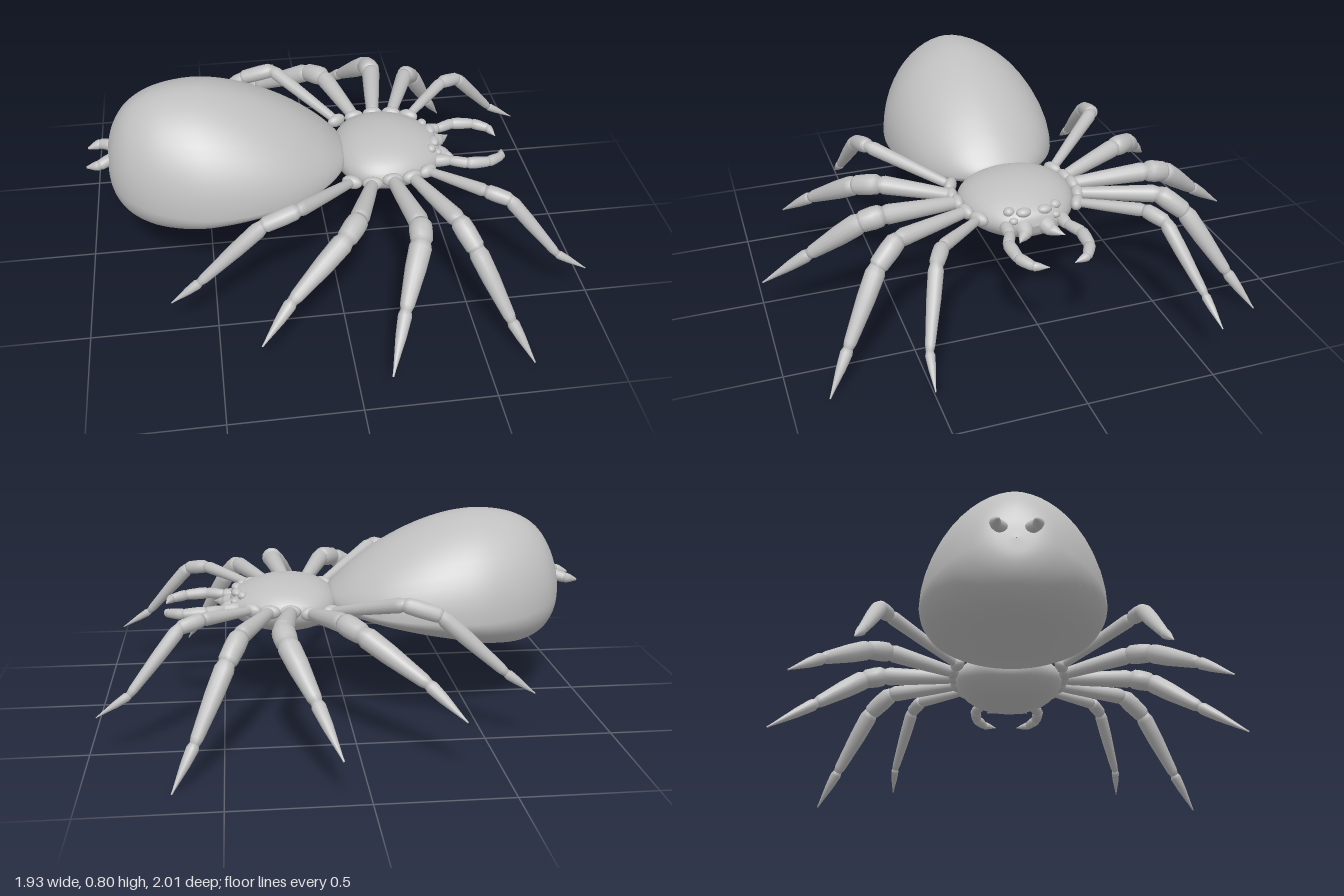
import * as THREE from 'three';

const grey = new THREE.MeshStandardMaterial({ color: 0xbfbfbf });
grey.name = 'body grey';

const V = (p, side = 1) => new THREE.Vector3(p[0], p[1], p[2] * side);

function add(parent, name, geometry) {
  const mesh = new THREE.Mesh(geometry, grey);
  mesh.name = name;
  parent.add(mesh);
  return mesh;
}

// Smooth body along x; each section is [x, halfWidth, top, bottom, widestHeight]
function loft(sections, rings, sides, peak) {
  const a = new THREE.CatmullRomCurve3(sections.map(s => new THREE.Vector3(s[0], s[1], s[2])), false, 'catmullrom');
  const b = new THREE.CatmullRomCurve3(sections.map(s => new THREE.Vector3(s[0], s[3], s[4])), false, 'catmullrom');
  const pos = [], idx = [];
  for (let i = 0; i <= rings; i++) {
    const p = a.getPoint(i / rings), q = b.getPoint(i / rings);
    for (let j = 0; j < sides; j++) {
      const t = (j / sides) * Math.PI * 2, c = Math.cos(t), s = Math.sin(t);
      const wide = s > 0 ? Math.sign(c) * Math.abs(c) ** peak : c;
      pos.push(p.x, q.z + s * (s > 0 ? p.z - q.z : q.z - q.y), p.y * wide);
      if (i < rings) {
        const k = i * sides + j, n = i * sides + (j + 1) % sides;
        idx.push(k, k + sides, n, n, k + sides, n + sides);
      }
    }
  }
  const g = new THREE.BufferGeometry();
  g.setAttribute('position', new THREE.Float32BufferAttribute(pos, 3));
  g.setIndex(idx);
  g.computeVertexNormals();
  return g;
}

// Rounded, tapered limb segment from point a to point b
function segment(parent, name, a, b, r0, r1) {
  const len = a.distanceTo(b);
  const profile = [[0, -r0 * 0.45], [r0 * 0.7, -r0 * 0.3], [r0, len * 0.08], [r0 * 0.72 + r1 * 0.34, len * 0.4],
    [r1 * 1.02, len * 0.92], [r1 * 0.7, len + r1 * 0.3], [0, len + r1 * 0.45]];
  const mesh = add(parent, name, new THREE.LatheGeometry(profile.map(p => new THREE.Vector2(p[0], p[1])), 14));
  mesh.position.copy(a);
  mesh.quaternion.setFromUnitVectors(new THREE.Vector3(0, 1, 0), b.clone().sub(a).normalize());
}

function ellipsoid(parent, name, p, size, side, turn = 0) {
  const mesh = add(parent, name, new THREE.SphereGeometry(1, 16, 12));
  mesh.position.copy(V(p, side));
  mesh.scale.set(...size);
  mesh.rotation.y = turn * side;
}

// Joints from hip to tip, with the knee thickness
const LEGS = [
  { name: 'rearLeg', r: 0.03, turn: 0.5, joints: [[0.07, 0.44, 0.22], [-0.18, 0.545, 0.5], [-0.31, 0.505, 0.52], [-0.56, 0.28, 0.55], [-0.67, 0.2, 0.56]] },
  { name: 'midRearLeg', r: 0.039, turn: 0.15, joints: [[0.15, 0.44, 0.24], [0.05, 0.485, 0.51], [-0.01, 0.465, 0.59], [-0.23, 0.32, 0.74], [-0.35, 0.215, 0.845]] },
  { name: 'middleLeg', r: 0.041, turn: 0, joints: [[0.23, 0.45, 0.24], [0.275, 0.475, 0.55], [0.265, 0.455, 0.63], [0.175, 0.3, 0.82], [0.1, 0.16, 1]] },
  { name: 'midFrontLeg', r: 0.036, turn: -0.3, joints: [[0.31, 0.45, 0.23], [0.43, 0.455, 0.53], [0.48, 0.385, 0.62], [0.6, 0.14, 0.77], [0.68, 0, 0.86]] },
  { name: 'frontLeg', r: 0.027, turn: -0.55, joints: [[0.38, 0.45, 0.2], [0.57, 0.48, 0.4], [0.65, 0.465, 0.445], [0.84, 0.24, 0.53], [0.96, 0.165, 0.545]] },
];
const PARTS = ['femur', 'patella', 'tibia', 'tarsus'];

export function createModel() {
  const model = new THREE.Group();
  model.name = 'spider';

  // Egg-shaped abdomen
  add(model, 'abdomen', loft([
    [-0.887, 0.002, 0.478, 0.476, 0.477], [-0.88, 0.09, 0.56, 0.39, 0.47], [-0.85, 0.165, 0.65, 0.325, 0.45],
    [-0.79, 0.235, 0.73, 0.272, 0.435], [-0.69, 0.3, 0.783, 0.246, 0.42], [-0.55, 0.346, 0.8, 0.255, 0.41],
    [-0.42, 0.354, 0.782, 0.283, 0.41], [-0.28, 0.337, 0.733, 0.314, 0.415], [-0.15, 0.296, 0.664, 0.348, 0.42],
    [-0.04, 0.228, 0.585, 0.38, 0.43], [0.03, 0.155, 0.52, 0.403, 0.44], [0.06, 0.09, 0.485, 0.425, 0.45],
    [0.066, 0.002, 0.453, 0.451, 0.452]], 60, 48, 1.1));

  // Cephalothorax
  add(model, 'cephalothorax', loft([
    [0.03, 0.002, 0.431, 0.429, 0.43], [0.045, 0.11, 0.475, 0.385, 0.43], [0.1, 0.19, 0.514, 0.345, 0.43],
    [0.18, 0.226, 0.535, 0.324, 0.43], [0.27, 0.224, 0.538, 0.32, 0.43], [0.35, 0.195, 0.523, 0.332, 0.43],
    [0.42, 0.145, 0.495, 0.36, 0.43], [0.455, 0.095, 0.47, 0.385, 0.43], [0.47, 0.002, 0.431, 0.429, 0.43]], 40, 36, 1));

  for (const side of [1, -1]) {
    const label = side > 0 ? 'left' : 'right';

    // Walking legs and their hip lobes
    for (const { name, r, turn, joints } of LEGS) {
      const leg = new THREE.Group();
      leg.name = `${label} ${name}`;
      const p = joints.map(j => V(j, side));
      const radii = [[r * 0.65, r * 0.95], [r * 1.05, r], [r * 1.05, r * 0.65], [r * 0.65, r * 0.12]];
      PARTS.forEach((part, i) => segment(leg, part, p[i], p[i + 1], ...radii[i]));
      ellipsoid(leg, 'hip', joints[0], [0.042, 0.028, 0.025], side, -turn);
      model.add(leg);
    }

    // Pedipalps
    const palp = new THREE.Group();
    palp.name = `${label} pedipalp`;
    const q = [[0.43, 0.43, 0.11], [0.49, 0.43, 0.115], [0.56, 0.43, 0.145], [0.65, 0.425, 0.14], [0.71, 0.42, 0.105], [0.728, 0.415, 0.05]].map(j => V(j, side));
    [[0.026, 0.022], [0.02, 0.022], [0.024, 0.021], [0.022, 0.018], [0.018, 0.003]]
      .forEach((r, i) => segment(palp, 'palp segment', q[i], q[i + 1], ...r));
    model.add(palp);

    // Jaws with pointed fangs
    segment(model, `${label} jaw`, V([0.42, 0.425, 0.04], side), V([0.49, 0.415, 0.05], side), 0.04, 0.026);
    segment(model, `${label} fang`, V([0.48, 0.415, 0.05], side), V([0.53, 0.41, 0.09], side), 0.024, 0.003);

    // Eyes
    ellipsoid(model, `${label} front eye`, [0.437, 0.48, 0.042], [0.022, 0.018, 0.03], side);
    ellipsoid(model, `${label} side eye`, [0.415, 0.48, 0.093], [0.02, 0.018, 0.022], side);
    ellipsoid(model, `${label} lower eye`, [0.447, 0.455, 0.085], [0.016, 0.014, 0.018], side);

    // Curved spinnerets
    const s = [[-0.865, 0.525, 0.045], [-0.915, 0.515, 0.075], [-0.965, 0.503, 0.065]].map(j => V(j, side));
    segment(model, `${label} spinneret base`, s[0], s[1], 0.023, 0.021);
    segment(model, `${label} spinneret tip`, s[1], s[2], 0.021, 0.007);
  }
  return model;
}
